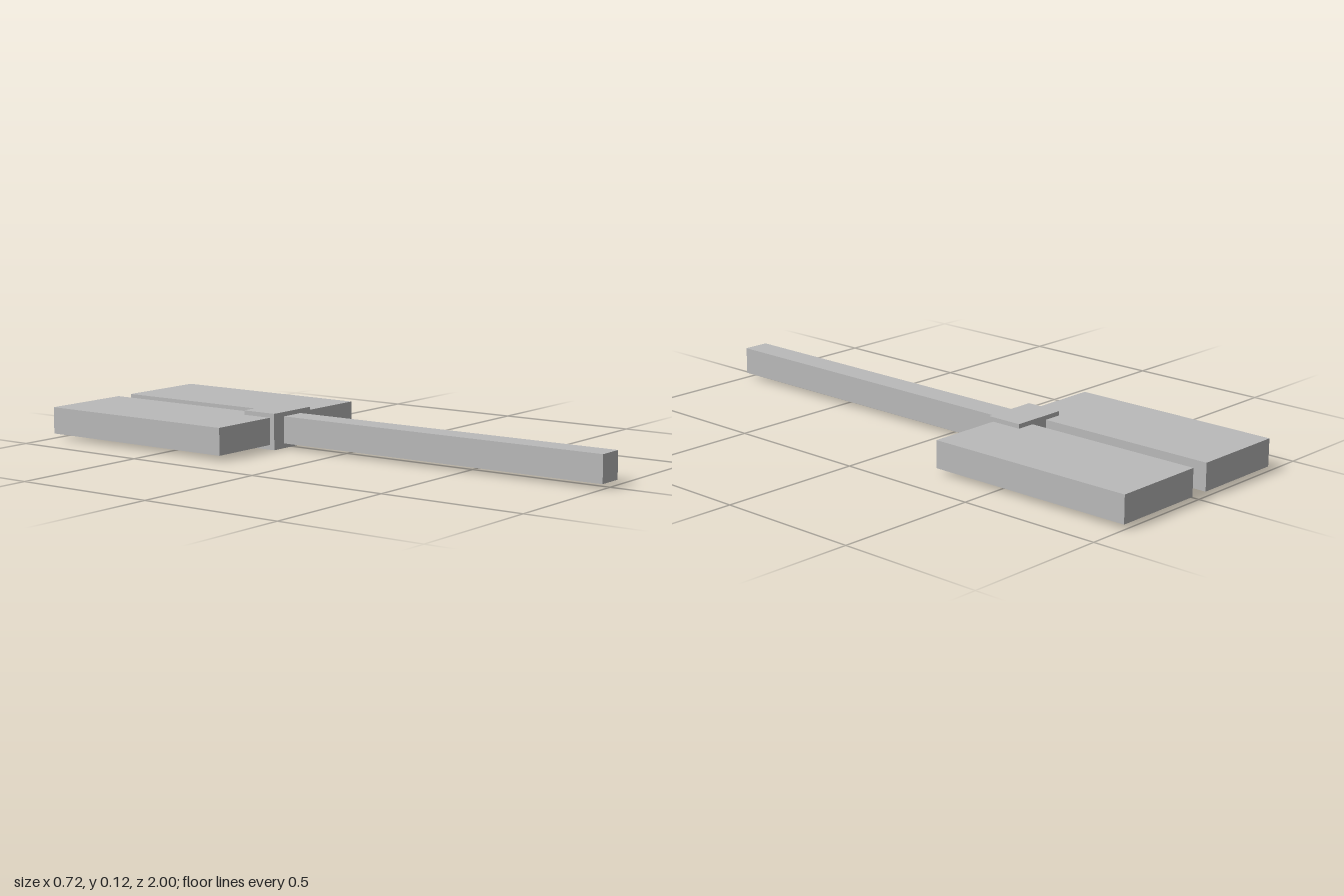
import * as THREE from 'three';

export function createModel() {
  const model = new THREE.Group();
  const grey = new THREE.MeshStandardMaterial({ color: 0xbababa });
  grey.name = 'light grey';

  // Box given by its minimum and maximum corners
  function addBox(name, [x0, y0, z0], [x1, y1, z1]) {
    const mesh = new THREE.Mesh(new THREE.BoxGeometry(x1 - x0, y1 - y0, z1 - z0), grey);
    mesh.position.set((x0 + x1) / 2, (y0 + y1) / 2, (z0 + z1) / 2);
    mesh.name = name;
    model.add(mesh);
  }

  const bottom = 0.0165, top = 0.109;

  // Long square bar reaching forward from the hub
  addBox('handle', [-0.046, bottom, -0.25], [0.046, top, 1]);

  // Slightly taller block joining the bar and both panels
  addBox('hub', [-0.098, 0, -0.361], [0.098, 0.124, -0.232]);

  // Two flat panels with a narrow gap between them
  addBox('leftPanel', [0.033, bottom, -1], [0.362, top, -0.25]);
  addBox('rightPanel', [-0.362, bottom, -1], [-0.033, top, -0.25]);

  return model;
}
